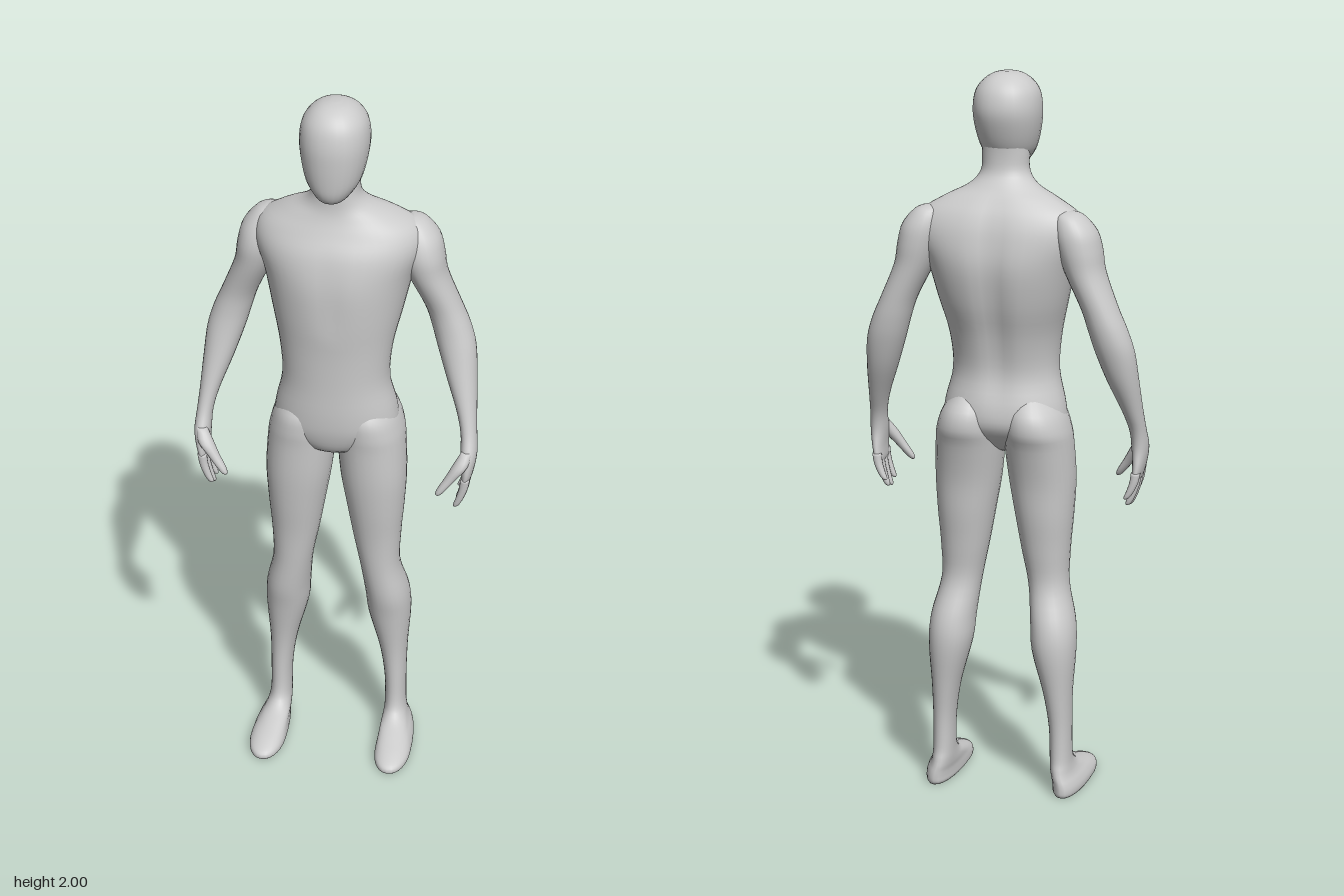
import * as THREE from 'three';

const material = new THREE.MeshStandardMaterial({ color: 0xcccccc, roughness: 0.8 });

// Catmull-Rom blend of the numbers in neighbouring cross-sections
function refine(sections, steps) {
  const rows = [];
  const at = i => sections[Math.min(Math.max(i, 0), sections.length - 1)];
  for (let i = 0; i < sections.length - 1; i++) {
    for (let s = 0; s < steps; s++) {
      const t = s / steps;
      rows.push(at(i).map((b, k) => {
        const a = at(i - 1)[k], c = at(i + 1)[k], d = at(i + 2)[k];
        return b + 0.5 * t * (c - a + t * (2 * a - 5 * b + 4 * c - d + t * (3 * (b - c) + d - a)));
      }));
    }
  }
  rows.push(at(sections.length - 1));
  return rows;
}

// Closed skin over horizontal sections, top to bottom: [y, xMin, xMax, zBack, zFront, zWidest]
function loft(name, sections, { sides = 28, steps = 4, power = 0.94, shape = null } = {}) {
  const rows = refine(sections, steps);
  const pos = [], index = [];
  const soft = v => Math.sign(v) * Math.abs(v) ** power;
  for (const [y, x0, x1, zb, zf, zc] of rows) {
    for (let j = 0; j < sides; j++) {
      const a = (j / sides) * Math.PI * 2;
      const s = soft(Math.sin(a));
      const p = new THREE.Vector3(
        (x0 + x1) / 2 + ((x1 - x0) / 2) * soft(Math.cos(a)), y,
        zc + s * (s > 0 ? zf - zc : zc - zb));
      if (shape) shape(p, s);
      pos.push(p.x, p.y, p.z);
    }
  }
  for (let i = 0; i < rows.length - 1; i++) {
    for (let j = 0; j < sides; j++) {
      const a = i * sides + j, b = i * sides + (j + 1) % sides;
      index.push(a, b, a + sides, b, b + sides, a + sides);
    }
  }
  // end caps
  const last = (rows.length - 1) * sides, top = pos.length / 3;
  for (const r of [rows[0], rows[rows.length - 1]]) pos.push((r[1] + r[2]) / 2, r[0], r[5]);
  for (let j = 0; j < sides; j++) {
    const k = (j + 1) % sides;
    index.push(top, k, j, top + 1, last + j, last + k);
  }
  const geometry = new THREE.BufferGeometry();
  geometry.setAttribute('position', new THREE.Float32BufferAttribute(pos, 3));
  geometry.setIndex(index);
  geometry.computeVertexNormals();
  const mesh = new THREE.Mesh(geometry, material);
  mesh.name = name;
  return mesh;
}

const centred = rows => rows.map(([y, w, zb, zf, zc = (zb + zf) / 2]) => [y, -w, w, zb, zf, zc]);
const sided = (rows, side) => rows.map(([y, x0, x1, zb, zf, zc = (zb + zf) / 2]) =>
  side > 0 ? [y, x0, x1, zb, zf, zc] : [y, -x1, -x0, zb, zf, zc]);
const digit = points => points.map(([x, y, z, r]) => [y, x - r, x + r, z - r, z + r]);

const HEAD = [
  [2.0, 0.012, -0.015, 0.018], [1.993, 0.04, -0.045, 0.05], [1.975, 0.066, -0.074, 0.079],
  [1.945, 0.085, -0.094, 0.1], [1.9, 0.091, -0.102, 0.111], [1.85, 0.086, -0.09, 0.112],
  [1.8, 0.073, -0.068, 0.109], [1.77, 0.055, -0.04, 0.104], [1.75, 0.036, -0.01, 0.093],
  [1.742, 0.018, 0.02, 0.075],
];

const TORSO = [
  [1.85, 0.06, -0.075, 0.04], [1.79, 0.063, -0.07, 0.038], [1.74, 0.066, -0.075, 0.04, -0.02],
  [1.705, 0.095, -0.1, 0.042, -0.04], [1.675, 0.155, -0.125, 0.05, -0.065],
  [1.635, 0.215, -0.152, 0.068, -0.075], [1.58, 0.228, -0.172, 0.095, -0.075],
  [1.5, 0.2, -0.183, 0.111, -0.06], [1.4, 0.176, -0.167, 0.11, -0.04],
  [1.3, 0.153, -0.137, 0.103, -0.015], [1.2, 0.146, -0.12, 0.1], [1.11, 0.166, -0.138, 0.1],
  [1.05, 0.165, -0.132, 0.094], [1.0, 0.1, -0.085, 0.075], [0.975, 0.035, -0.045, 0.035],
];

const ARM = [
  [1.652, 0.175, 0.2, -0.1, -0.07], [1.64, 0.155, 0.23, -0.13, -0.04],
  [1.6, 0.15, 0.264, -0.15, -0.015], [1.55, 0.16, 0.278, -0.155, -0.003],
  [1.49, 0.182, 0.288, -0.152, -0.01], [1.4, 0.226, 0.324, -0.15, -0.03],
  [1.34, 0.246, 0.35, -0.147, -0.032], [1.28, 0.264, 0.368, -0.137, -0.025],
  [1.2, 0.292, 0.376, -0.112, -0.01], [1.11, 0.327, 0.382, -0.07, 0.01],
  [1.05, 0.343, 0.387, -0.042, 0.028], [1.0, 0.346, 0.391, -0.033, 0.052],
  [0.955, 0.35, 0.385, -0.04, 0.06], [0.92, 0.35, 0.376, -0.044, 0.057],
  [0.908, 0.355, 0.37, -0.038, 0.05],
];

const LEG = [
  [1.15, 0.04, 0.12, -0.1, 0.05], [1.1, 0.015, 0.162, -0.146, 0.085],
  [1.05, 0.006, 0.182, -0.155, 0.09], [1.0, 0.004, 0.19, -0.138, 0.086],
  [0.9, 0.013, 0.195, -0.115, 0.081], [0.8, 0.03, 0.19, -0.105, 0.07],
  [0.7, 0.048, 0.182, -0.092, 0.056], [0.6, 0.068, 0.18, -0.086, 0.047],
  [0.5, 0.08, 0.203, -0.122, 0.038], [0.42, 0.088, 0.208, -0.131, 0.022],
  [0.3, 0.12, 0.2, -0.116, 0.003], [0.2, 0.136, 0.198, -0.104, -0.002],
  [0.11, 0.139, 0.199, -0.103, 0.002], [0.075, 0.138, 0.204, -0.11, 0.03, -0.03],
  [0.055, 0.136, 0.213, -0.115, 0.085, 0.01], [0.038, 0.135, 0.225, -0.118, 0.14, 0.05],
  [0.022, 0.133, 0.233, -0.119, 0.177, 0.075], [0.008, 0.133, 0.234, -0.118, 0.184, 0.08],
  [0, 0.138, 0.23, -0.113, 0.178, 0.08],
];

// Groove along the spine and shallow dip between the chest muscles
function sculptTorso(p, s) {
  const band = (y0, y1) => Math.sin(Math.PI * THREE.MathUtils.clamp((p.y - y0) / (y1 - y0), 0, 1));
  const middle = Math.exp(-((p.x / 0.035) ** 2));
  if (s < 0) p.z += 0.018 * middle * band(1.08, 1.72);
  else p.z -= 0.006 * middle * band(1.35, 1.62);
}

export function createModel() {
  const model = new THREE.Group();
  model.name = 'humanFigure';
  model.add(
    loft('head', centred(HEAD), { power: 0.92 }),
    loft('torso', centred(TORSO), { sides: 48, shape: sculptTorso }),
  );

  for (const [side, label] of [[1, 'left'], [-1, 'right']]) {
    model.add(loft(`${label}Leg`, sided(LEG, side)));

    const arm = new THREE.Group();
    arm.name = `${label}Arm`;
    arm.add(loft(`${label}ArmAndPalm`, sided(ARM, side)));

    // four fingers curling inward: [z at knuckle, z at tip, tip height]
    [[0.046, 0.046, 0.846], [0.02, 0.016, 0.832], [-0.007, -0.012, 0.838], [-0.031, -0.038, 0.862]]
      .forEach(([z0, z1, tip], i) => {
        const drop = 0.935 - tip;
        const points = [0, 0.35, 0.7, 0.93, 1].map((t, k) => [
          0.365 - 0.004 * t - 0.022 * t * t, 0.935 - drop * t, z0 + (z1 - z0) * t,
          [0.013, 0.012, 0.0105, 0.008, 0.003][k]]);
        arm.add(loft(`${label}Finger${i + 1}`, sided(digit(points), side), { sides: 12, steps: 3 }));
      });

    // thumb reaching inward and forward
    const thumb = [[0.366, 1.015, 0.035, 0.014], [0.352, 0.98, 0.052, 0.021], [0.328, 0.945, 0.063, 0.016],
      [0.308, 0.917, 0.07, 0.013], [0.297, 0.9, 0.074, 0.009], [0.294, 0.894, 0.075, 0.003]];
    arm.add(loft(`${label}Thumb`, sided(digit(thumb), side), { sides: 14, steps: 3 }));
    model.add(arm);
  }
  return model;
}
